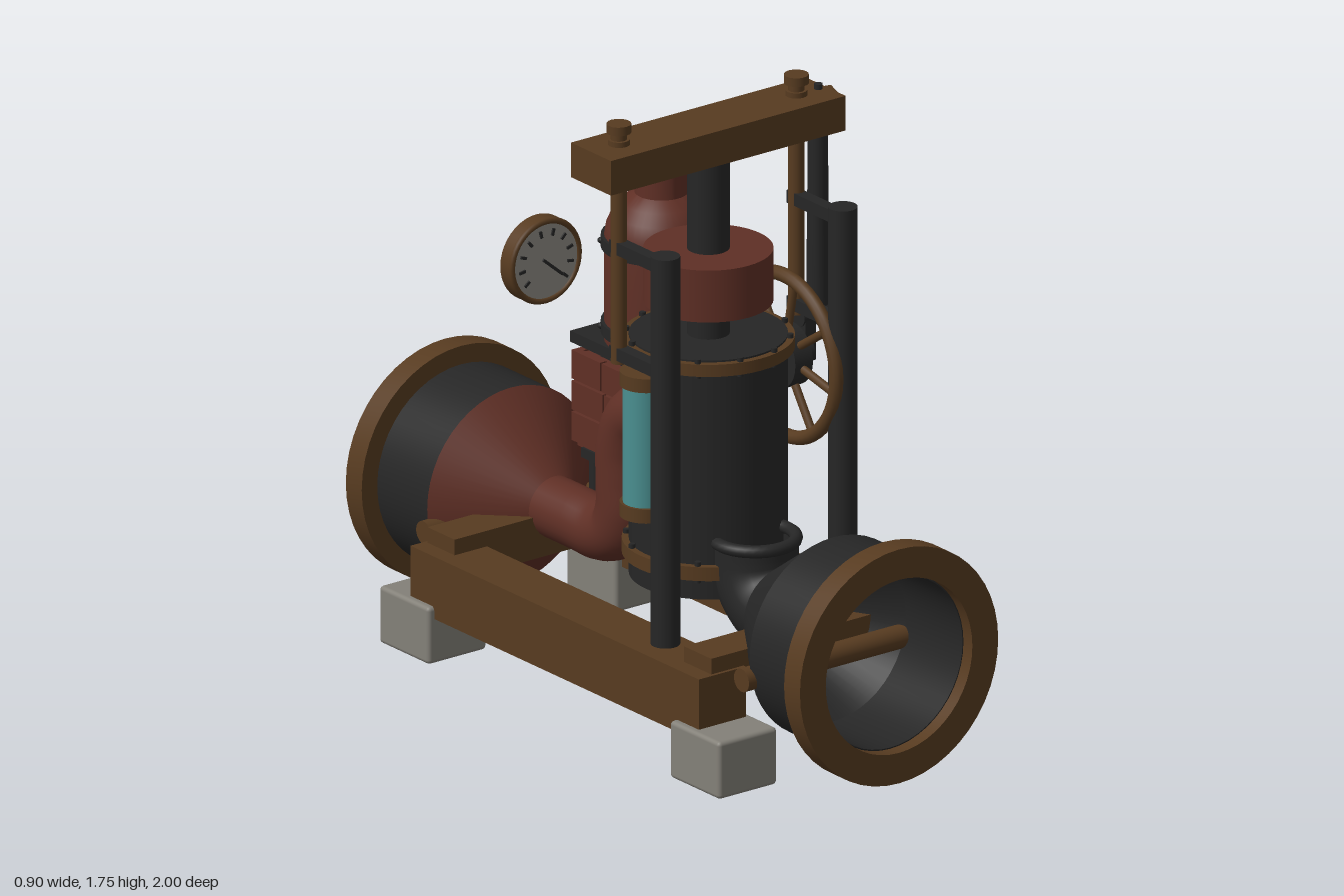
import * as THREE from 'three';
import { toCreasedNormals } from 'three/addons/utils/BufferGeometryUtils.js';
import { RoundedBoxGeometry } from 'three/addons/geometries/RoundedBoxGeometry.js';

const mat = (name, color, side = THREE.FrontSide) => {
  const m = new THREE.MeshStandardMaterial({ color, side });
  m.name = name;
  return m;
};

export function createModel() {
  const model = new THREE.Group();
  model.name = 'steamPump';
  const bronze = mat('bronze', 0x573b20);
  const iron = mat('blackIron', 0x262626, THREE.DoubleSide);
  const red = mat('brickRed', 0x5f2f25, THREE.DoubleSide);
  const stone = mat('stone', 0x838078);
  const glass = mat('tealGlass', 0x4a8f90);
  const dial = mat('dialFace', 0x8f8c84);

  const add = (name, geo, m, x = 0, y = 0, z = 0) => {
    const mesh = new THREE.Mesh(geo, m);
    mesh.name = name;
    mesh.position.set(x, y, z);
    model.add(mesh);
    return mesh;
  };
  // box given by its min and max corners
  const box = (name, m, x0, x1, y0, y1, z0, z1) =>
    add(name, new THREE.BoxGeometry(x1 - x0, y1 - y0, z1 - z0), m, (x0 + x1) / 2, (y0 + y1) / 2, (z0 + z1) / 2);
  // cylinder from a to b along one of the axes; the other two coordinates come from x, y, z
  const rod = (name, m, axis, r, a, b, x, y, z, seg = 28) => {
    const c = (a + b) / 2;
    const mesh = add(name, new THREE.CylinderGeometry(r, r, b - a, seg), m,
      axis === 'x' ? c : x, axis === 'y' ? c : y, axis === 'z' ? c : z);
    if (axis === 'x') mesh.rotation.z = Math.PI / 2;
    if (axis === 'z') mesh.rotation.x = Math.PI / 2;
    return mesh;
  };
  const lathe = (pts, seg = 48) => toCreasedNormals(
    new THREE.LatheGeometry(pts.map(p => new THREE.Vector2(...p)), seg), 0.6);
  const tube = (name, m, pts, r, seg = 40, rad = 24) => add(name,
    new THREE.TubeGeometry(new THREE.CatmullRomCurve3(pts.map(p => new THREE.Vector3(...p)), false, 'centripetal'), seg, r, rad), m);

  const X = -0.03, Z = 0.16, AXIS = 0.365;

  // base frame
  for (const [x0, x1] of [[-0.43, -0.27], [0.21, 0.365]]) box('sideBeam', bronze, x0, x1, 0.13, 0.31, -0.635, 0.635);
  for (const s of [-1, 1]) {
    const z = s * 0.565;
    box('crossBeam', bronze, -0.38, 0.32, 0.235, 0.355, z - 0.06, z + 0.06);
    for (const x of [-0.35, 0.288])
      add('footBlock', new RoundedBoxGeometry(0.2, 0.165, 0.22, 2, 0.012), stone, x, 0.0825, s * 0.64);
    rod('tieRod', bronze, 'x', 0.033, -0.335, 0.27, 0, 0.305, s * 0.7);
  }

  // wide pipe mouths at both ends
  const drum = [[0.285, 0.71], [0.285, 0.95], [0.246, 0.962], [0.246, 0.71]];
  const flange = [[0.25, 0.93], [0.338, 0.93], [0.338, 1], [0.25, 1], [0.25, 0.93]];
  for (const [s, coneMat, r, zEnd] of [[1, iron, 0.135, 0.49], [-1, red, 0.086, 0.52]]) {
    const cone = [[r, zEnd], [0.285, 0.71], [0.246, 0.712], [r - 0.02, zEnd]];
    for (const [name, pts, m] of [['mouthDrum', drum, iron], ['mouthFlange', flange, bronze], ['mouthCone', cone, coneMat]])
      add(name, lathe(pts), m, X, AXIS, 0).rotation.x = s * Math.PI / 2;
  }

  // front elbow with open upturned rim
  const elbow = [[X, AXIS, 0.52]];
  for (let i = 0; i <= 6; i++) {
    const a = i / 6 * Math.PI / 2;
    elbow.push([X, 0.5 - 0.135 * Math.cos(a), 0.495 - 0.13 * Math.sin(a)]);
  }
  elbow.push([X, 0.55, 0.365]);
  tube('frontElbow', iron, elbow, 0.12);
  add('elbowRim', new THREE.TorusGeometry(0.112, 0.018, 10, 36), iron, X, 0.545, 0.365).rotation.x = Math.PI / 2;

  // rear red pipe rising into the cylinder
  tube('rearPipe', red, [[X, AXIS, -0.56], [X, AXIS, -0.4], [X, AXIS, -0.3], [X, 0.395, -0.23], [X, 0.46, -0.2],
    [X, 0.55, -0.2], [X, 0.64, -0.197], [X, 0.73, -0.16], [X, 0.775, -0.07], [X, 0.78, 0.02]], 0.085, 50);

  // main cylinder, piston drum and rod
  rod('cylinderBody', iron, 'y', 0.215, 0.385, 1.075, X, 0, Z, 48);
  for (const [y0, y1] of [[0.445, 0.485], [1.035, 1.07]]) {
    rod('cylinderBand', bronze, 'y', 0.234, y0, y1, X, 0, Z, 48);
    for (let i = 0; i < 12; i++) {
      const a = (i + 0.5) / 12 * Math.PI * 2;
      rod('bandBolt', iron, 'y', 0.009, y0 - 0.008, y1 + 0.012, X + 0.223 * Math.cos(a), 0, Z + 0.223 * Math.sin(a), 6);
    }
  }
  rod('pistonDrum', red, 'y', 0.176, 1.17, 1.32, X, 0, Z, 48);
  rod('pistonRod', iron, 'y', 0.058, 1.07, 1.6, X, 0, Z);

  // crosshead beam, guide rods, posts and brackets
  box('crossheadBeam', bronze, -0.43, 0.37, 1.59, 1.69, Z - 0.088, Z + 0.088);
  for (const x of [-0.335, 0.27]) {
    rod('guidePost', iron, 'y', 0.04, 0.3, 1.43, x, 0, 0.365);
    rod('guideRod', bronze, 'y', 0.022, 1.06, 1.73, x, 0, Z);
    rod('rodNut', bronze, 'y', 0.034, 1.725, 1.75, x, 0, Z, 16);
    rod('rodCollar', bronze, 'y', 0.03, 1.69, 1.705, x, 0, Z, 16);
    for (const y of [1.395, 1.09]) box('postBracket', iron, x - 0.018, x + 0.018, y - 0.018, y + 0.018, 0.14, 0.37);
  }

  // flywheel, crank and connecting rod
  const WY = 0.945, WZ = 0.152;
  const rim = add('flywheelRim', new THREE.TorusGeometry(0.23, 0.02, 12, 56), bronze, 0.235, WY, WZ);
  rim.rotation.y = Math.PI / 2;
  for (let i = 0; i < 8; i++) {
    const a = i / 8 * Math.PI * 2 + 0.2;
    const spoke = add('flywheelSpoke', new THREE.CylinderGeometry(0.012, 0.012, 0.23, 10), bronze,
      0.235, WY + 0.115 * Math.cos(a), WZ + 0.115 * Math.sin(a));
    spoke.rotation.x = a;
  }
  rod('flywheelHub', iron, 'x', 0.088, 0.205, 0.265, 0, WY, WZ);
  rod('flywheelShaft', iron, 'x', 0.04, 0.15, 0.31, 0, WY, WZ);
  box('crankArm', iron, 0.285, 0.32, 0.92, 1.06, WZ - 0.03, WZ + 0.03);
  rod('crankPin', iron, 'x', 0.043, 0.35, 0.45, 0, 1.045, 0.155);
  rod('crankPinCore', iron, 'x', 0.028, 0.28, 0.36, 0, 1.045, 0.155);
  const conRod = add('connectingRod', new THREE.CylinderGeometry(0.026, 0.032, 0.64, 20), iron, 0.345, 1.36, 0.158);
  conRod.name = 'connectingRod';
  rod('beamPinDisc', bronze, 'x', 0.046, 0.365, 0.388, 0, 1.645, Z, 8);
  rod('beamPin', iron, 'y', 0.012, 1.68, 1.705, 0.345, 0, Z, 10);

  // sight glass
  rod('sightGlass', glass, 'y', 0.06, 0.68, 1.04, -0.335, 0, 0.275);
  for (const y of [0.655, 1.032]) rod('glassCap', bronze, 'y', 0.073, y, y + 0.04, -0.33, 0, 0.275);

  // pressure dial with ticks and pointer
  const DX = -0.3, DY = 1.232;
  rod('dialCase', bronze, 'z', 0.122, -0.25, -0.212, DX, DY, 0, 40);
  add('dialRim', new THREE.TorusGeometry(0.114, 0.009, 10, 40), bronze, DX, DY, -0.21);
  rod('dialPlate', dial, 'z', 0.107, -0.213, -0.206, DX, DY, 0, 40);
  for (let i = 0; i < 10; i++) {
    const a = -0.7 + i / 9 * 4.5;
    const tick = add('dialTick', new THREE.BoxGeometry(0.02, 0.008, 0.006), iron,
      DX + 0.083 * Math.cos(a), DY + 0.083 * Math.sin(a), -0.204);
    tick.rotation.z = a;
  }
  add('dialPointer', new THREE.BoxGeometry(0.085, 0.008, 0.006), iron, DX + 0.02, DY - 0.02, -0.202).rotation.z = -0.7;

  // firebox on its stand
  const BX = 0.205, BZ = -0.35;
  for (const z of [-0.22, -0.475]) {
    box('standFoot', iron, 0.04, 0.36, 0.312, 0.355, z - 0.03, z + 0.03);
    for (const x of [0.08, 0.335]) rod('standLeg', iron, 'y', 0.02, 0.35, 0.5, x, 0, z, 16);
  }
  box('fireboxBase', iron, 0.055, 0.355, 0.49, 0.518, -0.51, -0.185);
  box('fireboxCore', red, 0.062, 0.338, 0.515, 0.785, -0.535, -0.165);
  for (let row = 0; row < 3; row++) {
    const y0 = 0.53 + row * 0.089, y1 = y0 + 0.082, n = 3;
    for (let i = 0; i < n; i++) {
      const shift = row % 2 ? 0.012 : 0;
      const z0 = -0.547 + i * 0.133 + (i ? shift : 0), z1 = -0.547 + (i + 1) * 0.133 - 0.007 + (i < n - 1 ? shift : 0);
      const x0 = 0.05 + i * 0.101 + (i ? shift : 0), x1 = 0.05 + (i + 1) * 0.101 - 0.007 + (i < n - 1 ? shift : 0);
      for (const x of [0.05, 0.325]) box('sideBrick', red, x, x + 0.023, y0, y1, z0, z1);
      for (const z of [-0.547, -0.173]) box('endBrick', red, x0, x1, y0, y1, z, z + 0.023);
    }
  }
  box('fireboxNeck', iron, 0.09, 0.32, 0.78, 0.82, -0.47, -0.23);
  box('fireboxTop', iron, 0.045, 0.365, 0.815, 0.847, -0.545, -0.153);

  // firebox door
  box('doorPanel', iron, 0.345, 0.365, 0.575, 0.73, -0.42, -0.275);
  for (const y of [0.56, 0.745]) box('doorFrameBar', iron, 0.345, 0.38, y - 0.011, y + 0.011, -0.447, -0.25);
  for (const z of [-0.262, -0.435]) box('doorFrameSide', iron, 0.345, 0.38, 0.54, 0.765, z - 0.011, z + 0.011);
  for (const y of [0.61, 0.7]) rod('doorHinge', iron, 'y', 0.015, y - 0.02, y + 0.02, 0.375, 0, -0.425, 12);
  box('doorHandle', bronze, 0.385, 0.4, 0.678, 0.69, -0.335, -0.28);
  rod('doorKnob', bronze, 'x', 0.008, 0.36, 0.39, 0, 0.684, -0.29, 10);
  box('doorVent', bronze, 0.364, 0.369, 0.59, 0.6, -0.39, -0.305);

  // boiler with domed top
  add('boilerBody', lathe([[0, 0.845], [0.155, 0.845], [0.155, 1.15], [0.15, 1.18], [0.135, 1.215], [0.11, 1.247],
    [0.073, 1.272], [0.071, 1.37], [0, 1.37]]), red, BX, 0, BZ);
  for (const y of [0.885, 1.132]) {
    rod('boilerBand', iron, 'y', 0.164, y - 0.017, y + 0.017, BX, 0, BZ, 40);
    for (let i = 0; i < 10; i++) {
      const a = i / 10 * Math.PI * 2;
      add('bandRivet', new THREE.SphereGeometry(0.009, 8, 6), iron, BX + 0.164 * Math.cos(a), y, BZ + 0.164 * Math.sin(a));
    }
  }
  rod('boilerCap', bronze, 'y', 0.066, 1.368, 1.405, BX, 0, BZ);
  rod('valveStem', bronze, 'y', 0.016, 1.4, 1.465, BX, 0, BZ, 14);
  box('valveHandle', bronze, BX - 0.055, BX + 0.055, 1.45, 1.464, BZ - 0.013, BZ + 0.013);
  rod('sideTap', bronze, 'x', 0.012, 0.34, 0.4, 0, 1.02, -0.31, 12);

  // steam pipe from boiler to cylinder
  tube('steamPipe', red, [[0.2, 1.12, -0.24], [0.2, 1.12, -0.12], [0.2, 1.12, -0.05], [0.18, 1.12, -0.01], [0.1, 1.12, 0.08]], 0.021, 24, 14);
  rod('pipeNut', bronze, 'z', 0.03, -0.195, -0.165, 0.2, 1.12, 0, 6);
  const nut = add('pipeNut', new THREE.CylinderGeometry(0.034, 0.034, 0.03, 8), bronze, 0.112, 1.12, 0.066);
  nut.quaternion.setFromUnitVectors(new THREE.Vector3(0, 1, 0), new THREE.Vector3(-0.66, 0, 0.75).normalize());

  return model;
}
